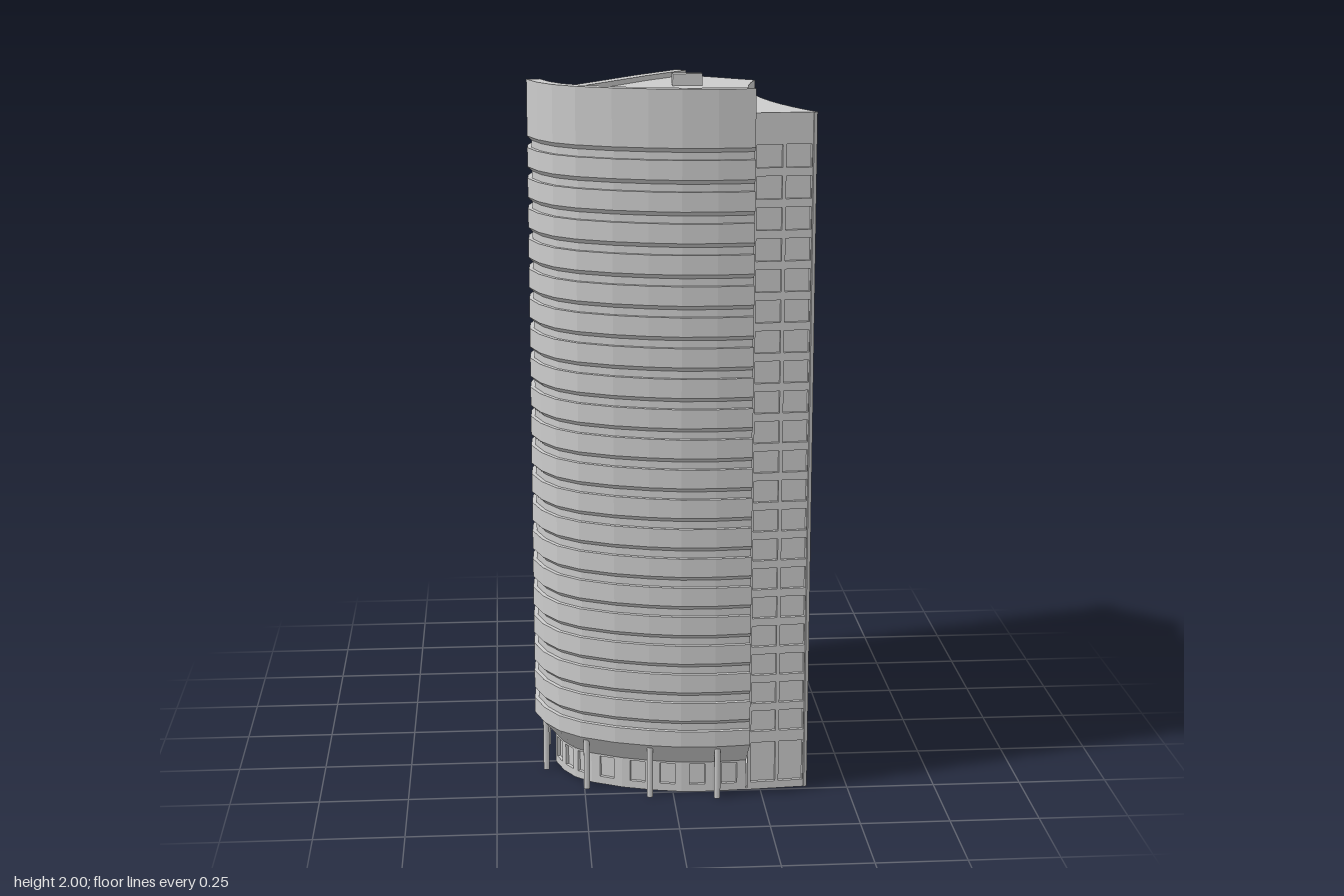
import * as THREE from 'three';

const DECK = 1.93, FLOORS = 20, PITCH = 0.0846, HEAD = 1.845;

export function createModel() {
  const model = new THREE.Group();
  const concrete = new THREE.MeshStandardMaterial({ color: 0xcccccc, side: THREE.DoubleSide });
  concrete.name = 'concrete';
  const add = (geometry, name, parent = model) => {
    const mesh = new THREE.Mesh(geometry, concrete);
    mesh.name = name;
    parent.add(mesh);
    return mesh;
  };
  const section = (name) => {
    const g = new THREE.Group();
    g.name = name;
    model.add(g);
    return g;
  };

  // Horizontal slab from [x, z] points
  const slab = (points, bottom, top, name, parent) => {
    const shape = new THREE.Shape(points.map(([x, z]) => new THREE.Vector2(x, z)));
    const g = new THREE.ExtrudeGeometry(shape, { depth: top - bottom, bevelEnabled: false });
    return add(g.rotateX(Math.PI / 2).translate(0, top, 0), name, parent);
  };

  // Flat wall from a to b with recessed windows [u0, u1, y0, y1]
  const wall = (a, b, height, windows, name, parent) => {
    const dx = b[0] - a[0], dz = b[1] - a[1], len = Math.hypot(dx, dz), depth = 0.01;
    const rect = (T, u0, u1, y0, y1) => new T([[u0, y0], [u1, y0], [u1, y1], [u0, y1]]
      .map(([u, y]) => new THREE.Vector2(u, y)));
    const shape = rect(THREE.Shape, 0, len, 0, height);
    for (const w of windows) shape.holes.push(rect(THREE.Path, ...w));
    const frame = add(new THREE.ExtrudeGeometry(shape, { depth, bevelEnabled: false })
      .translate(0, 0, -depth), name, parent);
    const pane = add(new THREE.PlaneGeometry(len, height)
      .translate(len / 2, height / 2, -depth), name + 'Panes', parent);
    for (const m of [frame, pane]) {
      m.position.set(a[0], 0, a[1]);
      m.rotation.y = Math.atan2(-dz, dx);
    }
  };

  // One column of windows, with an optional tall one at ground level
  const column = (centre, width, ground = true) => {
    const u0 = centre - width / 2, u1 = centre + width / 2;
    const list = ground ? [[u0, u1, 0.022, 0.142]] : [];
    for (let i = 0; i < FLOORS; i++) {
      const top = HEAD - i * PITCH;
      list.push([u0, u1, top - 0.062, top]);
    }
    return list;
  };

  // Plan of the rounded side, from the back corner round to the front
  const outer = [[0.087, -0.565], [-0.05, -0.395], [-0.177, -0.214], [-0.26, -0.1], [-0.31, 0],
    [-0.36, 0.105], [-0.383, 0.19], [-0.386, 0.26], [-0.36, 0.343], [-0.32, 0.41],
    [-0.26, 0.463], [-0.165, 0.51], [-0.07, 0.54], [0.018, 0.558], [0.114, 0.562], [0.213, 0.555]];
  const last = outer.length - 1;
  const inward = outer.map((p, i) => {
    const a = outer[Math.max(i - 1, 0)], b = outer[Math.min(i + 1, last)];
    const dx = b[0] - a[0], dz = b[1] - a[1], l = Math.hypot(dx, dz);
    return [dz / l, -dx / l];
  });
  const inset = (i, d) => [outer[i][0] + inward[i][0] * d, outer[i][1] + inward[i][1] * d];
  const baseInset = (i) => 0.037 + 0.023 * Math.min(1, i / 6);
  const rim = outer.map((_, i) => inset(i, 0.037));
  const base = outer.map((_, i) => inset(i, baseInset(i)));

  // Cross-section of the rounded side: soffit, banded floors and parapet
  const profile = (i) => {
    const pts = [[baseInset(i), 0.09], [0, 0.16]];
    for (let f = FLOORS - 1; f >= 0; f--) {
      const t = HEAD - f * PITCH;
      pts.push([0, t - 0.032], [0.012, t - 0.032], [0.012, t - 0.012], [0, t]);
    }
    const top = 1.945 + 0.055 * THREE.MathUtils.clamp(outer[i][1] / 0.25, 0, 1);
    pts.push([0, top], [0.037, top], [0.037, 1.85]);
    return pts;
  };
  const rings = outer.map((_, i) => profile(i).map(([d, y]) => {
    const [x, z] = inset(i, d);
    return [x, y, z];
  }));
  const verts = [];
  for (let i = 0; i < last; i++) {
    for (let j = 0; j < rings[i].length - 1; j++) {
      const a = rings[i][j], b = rings[i + 1][j], c = rings[i + 1][j + 1], d = rings[i][j + 1];
      verts.push(...a, ...b, ...c, ...a, ...c, ...d);
    }
  }
  const bands = new THREE.BufferGeometry();
  bands.setAttribute('position', new THREE.Float32BufferAttribute(verts, 3));
  bands.computeVertexNormals();
  const shell = section('roundedFacade');
  add(bands, 'bandedFloors', shell);

  // End faces of the rounded side
  for (const i of [0, last]) {
    const cap = new THREE.ShapeGeometry(new THREE.Shape(profile(i).map((p) => new THREE.Vector2(...p))));
    const pos = cap.attributes.position;
    for (let k = 0; k < pos.count; k++) {
      const [x, z] = inset(i, pos.getX(k));
      pos.setXYZ(k, x, pos.getY(k), z);
    }
    cap.computeVertexNormals();
    add(cap, 'facadeEnd', shell);
  }

  // Set-back ground floor with windows
  const ground = section('groundFloor');
  for (let i = 0; i < last; i++) {
    const a = base[i], b = base[i + 1], len = Math.hypot(b[0] - a[0], b[1] - a[1]);
    const n = Math.max(1, Math.round(len / 0.068)), step = len / n;
    const windows = [];
    for (let k = 0; k < n; k++) {
      const c = (k + 0.5) * step, w = Math.min(0.044, step * 0.65) / 2;
      windows.push([c - w, c + w, 0.022, 0.084]);
    }
    wall(a, b, 0.1, windows, 'groundWall', ground);
  }

  // Columns under the overhang
  const colonnade = section('colonnade');
  const path = new THREE.CurvePath();
  const line = outer.map((_, i) => new THREE.Vector3(inset(i, 0.016)[0], 0, inset(i, 0.016)[1]));
  for (let i = 0; i < last; i++) path.add(new THREE.LineCurve3(line[i], line[i + 1]));
  for (let k = 0; k < 9; k++) {
    const p = path.getPointAt(0.03 + k * 0.1145);
    add(new THREE.CylinderGeometry(0.009, 0.009, 0.15, 10), 'column', colonnade).position.set(p.x, 0.075, p.z);
  }

  // Concave window wall, one facet per window column
  const concave = section('concaveWall');
  const curveX = (z) => 0.262 + 0.45 * (z + 0.04) ** 2;
  const edge = [];
  for (let k = 0; k <= 12; k++) {
    const z = k === 0 ? 0.484 : k === 12 ? -0.373 : 0.424 - 0.0715 * (k - 1);
    edge.push([curveX(z), z]);
  }
  for (let k = 0; k < 12; k++) {
    const a = edge[k], b = edge[k + 1];
    const t = (0.46 - 0.0715 * k - a[1]) / (b[1] - a[1]);
    const centre = t * Math.hypot(b[0] - a[0], b[1] - a[1]);
    wall(a, b, DECK, column(Math.max(centre, 0.03), 0.053, k < 5 || k > 7), 'concaveFacet', concave);
  }

  // Narrow front wall and slanted back wall
  const frontStart = [0.213, 0.497];
  wall(frontStart, edge[0], DECK, [...column(0.045, 0.07), ...column(0.125, 0.07)], 'frontWall');
  wall(edge[12], rim[0], DECK, [0.086, 0.141, 0.196].flatMap((c) => column(c, 0.044)), 'backWall');

  // Base and roof deck with a sunken terrace
  slab([...base, frontStart, ...edge], 0, 0.004, 'base');
  const terraceEdge = [[-0.155, 0.045], [-0.19, 0.22], [-0.18, 0.275], [-0.16, 0.295],
    [-0.13, 0.3], [-0.12, 0.34]];
  slab([...rim.slice(0, 5), ...terraceEdge, ...rim.slice(11), frontStart, ...edge], 1.85, DECK, 'roofDeck');
  const terrace = section('roofTerrace');
  slab([...rim.slice(4, 12), ...terraceEdge.slice().reverse()], 1.84, 1.855, 'terraceFloor', terrace);
  slab([[-0.19, 0.04], [-0.155, 0.045], [-0.19, 0.22], [-0.18, 0.275], [-0.16, 0.295], [-0.13, 0.3],
    [-0.12, 0.34], [-0.22, 0.33], [-0.22, 0.135], [-0.205, 0.13]], 1.85, 1.89, 'terraceStep', terrace);
  slab([[-0.285, 0.05], [-0.275, 0.115], [-0.257, 0.11], [-0.283, 0.21], [-0.33, 0.205],
    [-0.32, 0.16]], 1.85, 1.915, 'terraceBlock', terrace);
  slab([[-0.3, 0.31], [-0.262, 0.29], [-0.2, 0.38], [-0.23, 0.408]], 1.85, 1.915, 'terraceBlock', terrace);
  add(new THREE.BoxGeometry(0.088, 0.04, 0.042), 'roofBox').position.set(0.095, 1.945, -0.24);

  // Round entrance with a small block above
  const entrance = section('entrance');
  add(new THREE.CylinderGeometry(0.039, 0.039, 0.1, 20), 'entranceDrum', entrance).position.set(0.262, 0.05, 0.02);
  add(new THREE.BoxGeometry(0.05, 0.05, 0.024), 'entranceBlock', entrance).position.set(0.266, 0.125, 0.017);

  return model;
}
